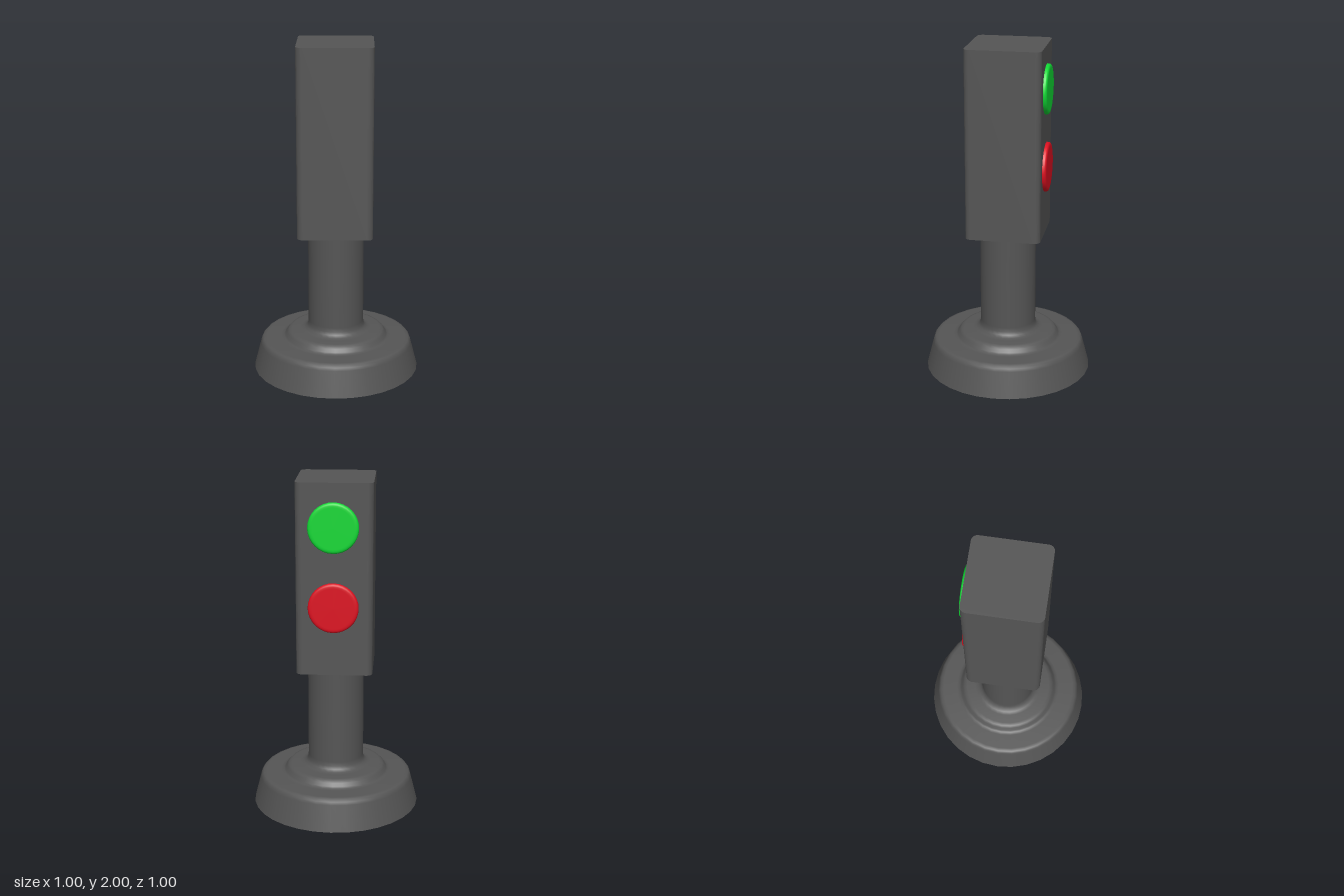
import * as THREE from 'three';

const SIDES = 32;
const bodyMat = new THREE.MeshStandardMaterial({ color: 0x555555 });

function addMesh(parent, name, geometry, material) {
  const mesh = new THREE.Mesh(geometry, material);
  mesh.name = name;
  parent.add(mesh);
  return mesh;
}

function lathe(points) {
  return new THREE.LatheGeometry(points.map(([r, y]) => new THREE.Vector2(r, y)), SIDES);
}

// Square outline with rounded corners
function roundedSquare(half, r) {
  const s = new THREE.Shape();
  const c = half - r;
  s.absarc(c, c, r, 0, Math.PI / 2);
  s.absarc(-c, c, r, Math.PI / 2, Math.PI);
  s.absarc(-c, -c, r, Math.PI, Math.PI * 1.5);
  s.absarc(c, -c, r, Math.PI * 1.5, Math.PI * 2);
  s.closePath();
  return s;
}

export function createModel() {
  const model = new THREE.Group();
  model.name = 'signalPost';

  // Stepped base flowing through fillets into the post
  addMesh(model, 'baseAndPost', lathe([
    [0.5, 0], [0.46, 0.155], [0.455, 0.173], [0.444, 0.186], [0.425, 0.191],
    [0.335, 0.192], [0.318, 0.196], [0.308, 0.205], [0.298, 0.222], [0.286, 0.235],
    [0.268, 0.24], [0.215, 0.242], [0.195, 0.246], [0.178, 0.258], [0.169, 0.275],
    [0.167, 0.3], [0.167, 0.88],
  ]), bodyMat);

  // Flat underside
  const underside = addMesh(model, 'baseUnderside', new THREE.CircleGeometry(0.5, SIDES), bodyMat);
  underside.rotation.x = Math.PI / 2;

  // Upright housing with rounded vertical edges
  const housing = new THREE.ExtrudeGeometry(roundedSquare(0.222, 0.036), {
    depth: 1.125, bevelEnabled: false, curveSegments: 5,
  });
  housing.rotateX(-Math.PI / 2);
  addMesh(model, 'housing', housing, bodyMat).position.set(-0.003, 0.875, -0.002);

  // Round lamps with softened rims on the back face
  const lampGeometry = lathe([
    [0.146, 0], [0.146, 0.012], [0.143, 0.018], [0.138, 0.022], [0.13, 0.024], [0.12, 0.024], [0, 0.024],
  ]);
  lampGeometry.rotateX(-Math.PI / 2);
  for (const [name, y, color] of [['greenLamp', 1.745, 0x10d834], ['redLamp', 1.28, 0xdd1020]]) {
    const lamp = addMesh(model, name, lampGeometry, new THREE.MeshStandardMaterial({ color }));
    lamp.position.set(0.001, y, -0.223);
  }

  return model;
}
